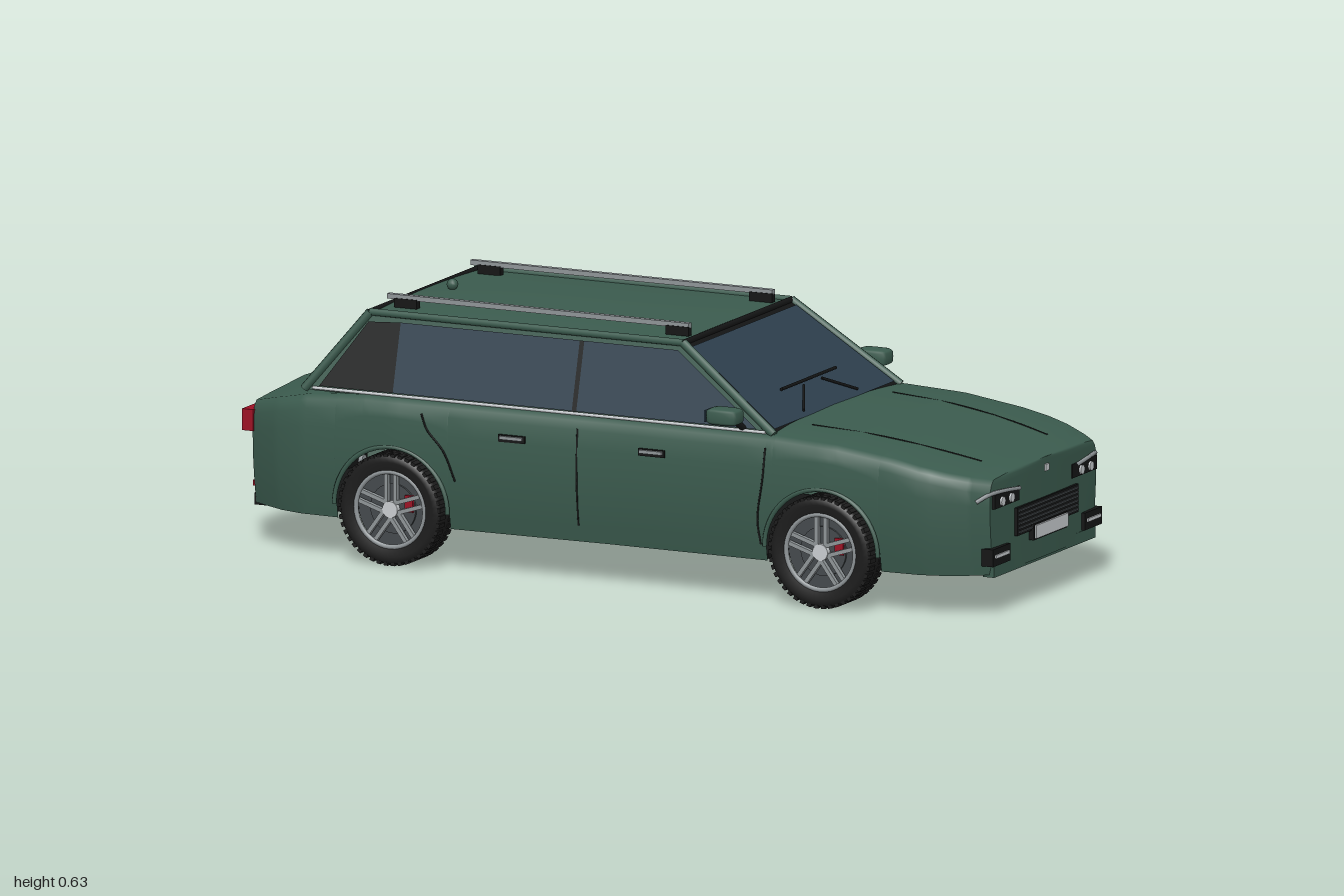
import * as THREE from 'three';
import { mergeGeometries } from 'three/addons/utils/BufferGeometryUtils.js';

const mat = (name, color, side = THREE.FrontSide) => {
  const m = new THREE.MeshStandardMaterial({ color, side });
  m.name = name;
  return m;
};
const V = (x, y, z) => new THREE.Vector3(x, y, z);
const lerp = THREE.MathUtils.lerp;
// piecewise-linear lookup in a short [x, value] table
const look = (table, x) => {
  for (let i = 1; i < table.length; i++) {
    const [x0, a] = table[i - 1], [x1, b] = table[i];
    if (x <= x1) return lerp(a, b, Math.max(0, (x - x0) / (x1 - x0)));
  }
  return table[table.length - 1][1];
};
// surface through rows of points
const loft = (rows) => {
  const n = rows[0].length, index = [];
  for (let i = 0; i < rows.length - 1; i++)
    for (let j = 0; j < n - 1; j++) {
      const a = i * n + j, b = a + n;
      index.push(a, a + 1, b, b, a + 1, b + 1);
    }
  const g = new THREE.BufferGeometry().setFromPoints(rows.flat());
  g.setIndex(index);
  g.computeVertexNormals();
  return g;
};

// body rules
const WHEEL_X = 0.57, WHEEL_Y = 0.138, ARCH_R = 0.15;
const WIDTH = [[-0.975, 0.29], [-0.94, 0.312], [-0.88, 0.345], [-0.82, 0.362], [-0.57, 0.372], [0, 0.364],
  [0.57, 0.372], [0.82, 0.363], [0.88, 0.346], [0.94, 0.312], [0.975, 0.283]];
const TOP = [[-0.975, 0.346], [-0.9, 0.367], [-0.8, 0.39], [-0.65, 0.402], [0.44, 0.402], [0.6, 0.394],
  [0.75, 0.374], [0.85, 0.354], [0.93, 0.337], [0.975, 0.328]];
const sideZ = (x, y) => look(WIDTH, x) - 0.6 * (y - 0.28) ** 2;
const topY = (x, z) => look(TOP, x) + 0.012 * (1 - (z / look(WIDTH, x)) ** 2);
const bottomY = (x) => {
  const d = Math.abs(Math.abs(x) - WHEEL_X);
  return d < ARCH_R - 1e-6 ? WHEEL_Y + Math.sqrt(ARCH_R ** 2 - d * d) : 0.1;
};
const section = (x) => {
  const b = bottomY(x), t = look(TOP, x), half = [];
  for (let i = 0; i <= 6; i++) {
    const y = lerp(b, t - 0.03, i / 6);
    half.push(V(x, y, sideZ(x, y)));
  }
  half.push(V(x, t - 0.01, sideZ(x, t) - 0.007));
  for (const f of [0.93, 0.65, 0.35, 0]) {
    const z = look(WIDTH, x) * f;
    half.push(V(x, topY(x, z), z));
  }
  return half;
};

export function createModel() {
  const car = new THREE.Group();
  car.name = 'estateCar';
  const green = mat('greenPaint', 0x3b5b4e, THREE.DoubleSide);
  const glass = mat('tintedGlass', 0x2d3f4d, THREE.DoubleSide);
  const black = mat('blackTrim', 0x141515, THREE.DoubleSide);
  const rubber = mat('tyreRubber', 0x1c1c1c);
  const dark = mat('darkMetal', 0x44494c);
  const silver = mat('silver', 0x8f9598);
  const light = mat('paleChrome', 0xc9cdd0);
  const red = mat('redLens', 0x9c1024);

  const add = (name, geo, m, parent = car) => {
    const mesh = new THREE.Mesh(geo, m);
    mesh.name = name;
    parent.add(mesh);
    return mesh;
  };
  const box = (name, m, w, h, d, x, y, z, parent) => {
    const mesh = add(name, new THREE.BoxGeometry(w, h, d), m, parent);
    mesh.position.set(x, y, z);
    return mesh;
  };
  const bar = (name, m, a, b, r) => {
    const mesh = add(name, new THREE.CylinderGeometry(r, r, a.distanceTo(b), 8), m);
    mesh.position.copy(a).lerp(b, 0.5);
    mesh.quaternion.setFromUnitVectors(V(0, 1, 0), b.clone().sub(a).normalize());
    return mesh;
  };
  const tube = (name, m, pts, r) =>
    add(name, new THREE.TubeGeometry(new THREE.CatmullRomCurve3(pts), 16, r, 6), m);

  // lower body shell with wheel openings
  const xs = new Set([...WIDTH, ...TOP].map((p) => p[0]));
  for (let i = -5; i <= 5; i++) xs.add(i * 0.07);
  for (const c of [-WHEEL_X, WHEEL_X]) {
    for (let i = 0; i <= 24; i++) xs.add(c - ARCH_R * Math.cos((Math.PI * i) / 24));
    xs.add(c - ARCH_R + 1e-5).add(c + ARCH_R - 1e-5);
  }
  const stations = [...xs].sort((a, b) => a - b);
  const flip = (p) => V(p.x, p.y, -p.z);
  add('bodyShell', loft(stations.map((x) => {
    const h = section(x);
    return [...h, ...h.slice(0, -1).reverse().map(flip)];
  })), green);
  for (const [x, name] of [[0.975, 'frontFascia'], [-0.975, 'tailgate']])
    add(name, loft(section(x).map((p) => {
      const row = [];
      for (let i = 0; i <= 12; i++) {
        const u = 1 - i / 6;
        row.push(V(x + Math.sign(x) * 0.008 * (1 - u * u), p.y, p.z * u));
      }
      return row;
    })), green);
  box('underbody', black, 1.86, 0.012, 0.57, 0, 0.106, 0);
  box('sillFloor', black, 0.83, 0.012, 0.68, 0, 0.107, 0);

  // sloping cabin ends: u runs across, v runs up
  const slope = (xb, xt) => (u, v, out = 0) => V(lerp(xb, xt, v) + Math.sign(xb) * out,
    lerp(0.402, 0.592, v) + out, u * lerp(0.337, 0.287, v));
  const screen = slope(0.43, 0.165), hatch = slope(-0.815, -0.665);
  const patch = (name, m, f, u, v0, v1, out) => add(name,
    loft([[f(-u, v0, out), f(u, v0, out)], [f(-u, v1, out), f(u, v1, out)]]), m);
  for (const [f, name] of [[screen, 'windscreen'], [hatch, 'rearWindow']]) {
    patch(name + 'Surround', black, f, 1, 0, 1, 0);
    patch(name, glass, f, 0.95, 0.04, 0.94, 0.003);
    bar(name + 'Header', black, f(-1, 1), f(1, 1), 0.008);
  }

  // roof with a gentle crown
  const roofY = (x, u) => 0.591 + 0.016 * (1 - u * u) * (1 - 0.6 * Math.abs((x + 0.25) / 0.415) ** 3);
  const roofRows = [];
  for (let i = 0; i <= 14; i++) {
    const x = lerp(-0.668, 0.168, i / 14), row = [];
    for (let j = 0; j <= 12; j++) row.push(V(x, roofY(x, 1 - j / 6), 0.29 * (1 - j / 6)));
    roofRows.push(row);
  }
  add('roof', loft(roofRows), green);

  // cabin sides, leaning inwards
  const sidePanel = (name, m, pts, s, out) => {
    const g = new THREE.ShapeGeometry(new THREE.Shape(pts.map((p) => new THREE.Vector2(...p))));
    const p = g.attributes.position;
    for (let i = 0; i < p.count; i++)
      p.setZ(i, s * (lerp(0.337, 0.287, (p.getY(i) - 0.402) / 0.19) + out));
    if (s < 0) g.index.array.reverse();
    g.computeVertexNormals();
    return add(name, g, m);
  };

  // parts repeated on both sides
  for (const s of [1, -1]) {
    sidePanel('cabinSide', green, [[-0.815, 0.4], [0.43, 0.4], [0.165, 0.592], [-0.665, 0.592]], s, 0);
    sidePanel('sideGlass', glass, [[-0.58, 0.412], [0.385, 0.412], [0.155, 0.575], [-0.58, 0.575]], s, 0.004);
    sidePanel('rearQuarterGlass', black, [[-0.775, 0.412], [-0.58, 0.412], [-0.58, 0.575], [-0.665, 0.57]], s, 0.004);
    sidePanel('doorPillar', black, [[-0.104, 0.412], [-0.092, 0.412], [-0.092, 0.575], [-0.104, 0.575]], s, 0.007);
    bar('frontPillar', green, screen(s, 0), screen(s, 1), 0.011);
    bar('rearPillar', green, hatch(s, 0), hatch(s, 1), 0.011);
    bar('roofEdge', green, hatch(s, 1), screen(s, 1), 0.009);
    bar('windowTrim', light, V(-0.79, 0.407, s * 0.341), V(0.41, 0.407, s * 0.341), 0.004);

    // roof rail and feet
    box('roofRail', silver, 0.8, 0.012, 0.014, -0.25, 0.621, s * 0.222);
    for (const x of [-0.6, 0.12]) box('railFoot', black, 0.06, 0.022, 0.018, x, 0.607, s * 0.222);

    // door seams and handles
    const seam = (pts) => tube('doorSeam', black, pts.map(([x, y]) => V(x, y, s * sideZ(x, y))), 0.0025);
    seam([[-0.08, 0.14], [-0.08, 0.25], [-0.08, 0.375]]);
    seam([[0.405, 0.14], [0.4, 0.2], [0.415, 0.3], [0.42, 0.375]]);
    seam([[-0.4, 0.22], [-0.43, 0.29], [-0.475, 0.34], [-0.49, 0.375]]);
    for (const x of [-0.25, 0.12]) {
      box('handleRecess', black, 0.07, 0.018, 0.004, x, 0.336, s * 0.367);
      box('doorHandle', silver, 0.06, 0.008, 0.01, x, 0.338, s * 0.37);
    }

    // mirror
    bar('mirrorArm', black, V(0.35, 0.41, s * 0.335), V(0.335, 0.445, s * 0.38), 0.008);
    const shell = add('mirrorShell', new THREE.SphereGeometry(1, 16, 10), green);
    const p = shell.geometry.attributes.position;
    for (let i = 0; i < p.count; i++)
      p.setXYZ(i, ...[p.getX(i), p.getY(i), p.getZ(i)].map((c) => Math.sign(c) * Math.abs(c) ** 0.45));
    shell.geometry.computeVertexNormals();
    shell.scale.set(0.042, 0.02, 0.029);
    shell.position.set(0.33, 0.45, s * 0.398);
    box('mirrorGlass', glass, 0.004, 0.028, 0.044, 0.288, 0.45, s * 0.398);

    // bonnet seam and wipers
    tube('bonnetSeam', black, [[0.47, 0.215], [0.65, 0.205], [0.8, 0.19], [0.9, 0.175]]
      .map(([x, z]) => V(x, topY(x, z), s * z)), 0.002);
    bar('wiperArm', black, screen(s * 0.15, 0.28, 0.009), screen(s * 0.43, 0.09, 0.006), 0.0035);

    // front lamps
    box('headlampHousing', black, 0.02, 0.034, 0.132, 0.973, 0.277, s * 0.206);
    for (const z of [0.186, 0.235]) {
      const lamp = add('headlamp', new THREE.CylinderGeometry(0.011, 0.011, 0.008, 16), light);
      lamp.rotation.z = Math.PI / 2;
      lamp.position.set(0.984, 0.274, s * z);
    }
    tube('lampBrow', silver, [V(0.988, 0.291, s * 0.15), V(0.986, 0.298, s * 0.22),
      V(0.972, 0.296, s * 0.285), V(0.95, 0.28, s * 0.307)], 0.005);
    box('fogLampHousing', black, 0.03, 0.042, 0.092, 0.972, 0.145, s * 0.244);
    box('fogLampStrip', light, 0.006, 0.008, 0.07, 0.988, 0.147, s * 0.244);

    // rear lamps, reflectors and tailpipes
    box('tailLamp', red, 0.03, 0.052, 0.15, -0.985, 0.303, s * 0.222);
    box('tailLampStrip', black, 0.004, 0.008, 0.12, -1, 0.296, s * 0.215);
    box('rearReflector', red, 0.016, 0.014, 0.06, -0.978, 0.145, s * 0.235);
    bar('tailpipe', silver, V(-0.94, 0.112, s * 0.235), V(-0.99, 0.112, s * 0.235), 0.014);
  }
  bar('wiperBlade', black, screen(-0.45, 0.32, 0.008), screen(0.45, 0.32, 0.008), 0.004);
  bar('rearWiperBlade', black, hatch(-0.33, 0.18, 0.012), hatch(0.33, 0.18, 0.012), 0.004);
  bar('rearWiperArm', black, hatch(0, 0.02, 0.01), hatch(0.12, 0.42, 0.012), 0.004);
  add('roofAntenna', new THREE.SphereGeometry(0.014, 12, 8), green).position.set(-0.59, 0.613, 0);

  // nose and tail details on the centre line
  box('grille', black, 0.02, 0.068, 0.325, 0.978, 0.21, 0);
  for (let i = 0; i < 6; i++) box('grilleSlat', dark, 0.006, 0.004, 0.315, 0.989, 0.184 + i * 0.0105, 0);
  box('frontLip', green, 0.03, 0.028, 0.54, 0.965, 0.108, 0);
  box('rearLip', black, 0.03, 0.028, 0.54, -0.965, 0.108, 0);
  box('frontPlateFrame', black, 0.014, 0.04, 0.176, 0.988, 0.173, 0);
  box('frontPlate', light, 0.006, 0.032, 0.168, 0.997, 0.173, 0);
  box('noseBadge', light, 0.006, 0.016, 0.018, 0.985, 0.314, 0);
  box('rearPlateRecess', black, 0.014, 0.06, 0.19, -0.984, 0.225, 0);
  box('rearPlate', light, 0.005, 0.032, 0.168, -0.992, 0.22, 0);

  // wheels
  const tyreGeo = new THREE.LatheGeometry([[0.092, -0.036], [0.115, -0.042], [0.129, -0.039], [0.133, -0.03],
    [0.133, 0.03], [0.129, 0.039], [0.115, 0.042], [0.092, 0.036]].map((p) => new THREE.Vector2(...p)), 48);
  tyreGeo.rotateX(Math.PI / 2);
  const blocks = [];
  for (let i = 0; i < 44; i++)
    for (const z of [-0.025, 0.025])
      blocks.push(new THREE.BoxGeometry(0.008, 0.011, 0.03).translate(0.1315, 0, z)
        .rotateZ(((i + (z > 0 ? 0.5 : 0)) * Math.PI * 2) / 44));
  const treadGeo = mergeGeometries(blocks);
  const spokes = [];
  for (let i = 0; i < 5; i++)
    for (const o of [-0.012, 0.012])
      spokes.push(new THREE.BoxGeometry(0.078, 0.01, 0.012).translate(0.052, o, 0.028)
        .rotateZ(Math.PI / 2 + (i * Math.PI * 2) / 5));
  const spokeGeo = mergeGeometries(spokes);
  const disc = (r, h, z) => new THREE.CylinderGeometry(r, r, h, 32).rotateX(Math.PI / 2).translate(0, 0, z);
  for (const s of [1, -1])
    for (const x of [WHEEL_X, -WHEEL_X]) {
      const wheel = new THREE.Group();
      wheel.name = 'wheel';
      wheel.position.set(x, WHEEL_Y - 0.001, s * 0.337);
      if (s < 0) wheel.rotation.y = Math.PI;
      car.add(wheel);
      add('tyre', tyreGeo, rubber, wheel);
      add('tread', treadGeo, rubber, wheel);
      add('rimBarrel', disc(0.094, 0.05, -0.011), dark, wheel);
      add('rimRing', new THREE.TorusGeometry(0.091, 0.006, 8, 40).translate(0, 0, 0.033), silver, wheel);
      add('brakeDisc', disc(0.06, 0.006, 0.017), dark, wheel);
      add('spokes', spokeGeo, silver, wheel);
      add('hub', disc(0.02, 0.014, 0.03), light, wheel);
      box('brakeCaliper', red, 0.022, 0.04, 0.008, s * 0.045, 0.016, 0.023, wheel);
      // wheel arch lip
      const lip = add('archLip', new THREE.TorusGeometry(ARCH_R, 0.006, 6, 32, Math.PI), green);
      lip.position.set(x, WHEEL_Y, s * 0.368);
    }
  return car;
}
